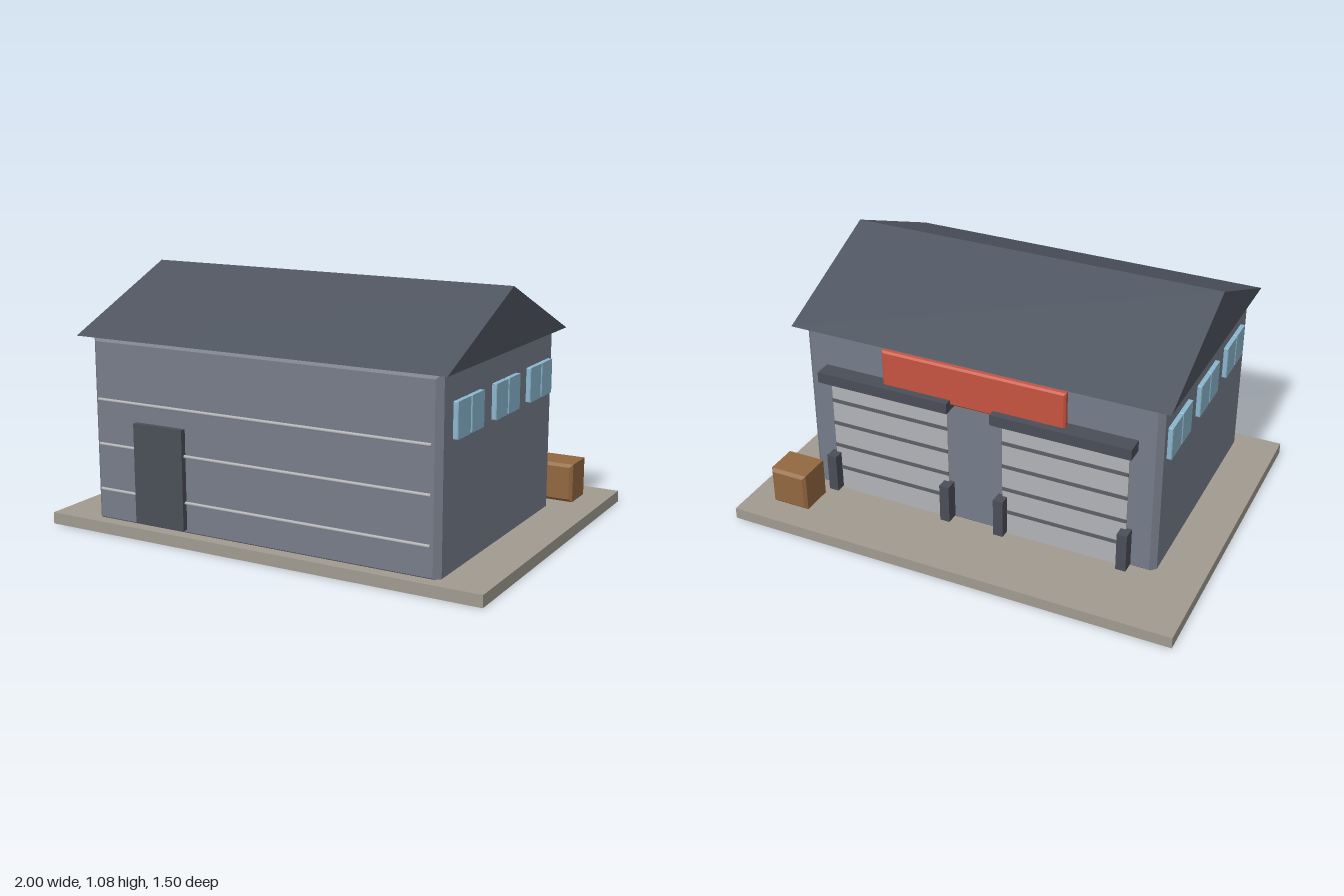
import * as THREE from 'three';

const mat = (name, color) => {
  const m = new THREE.MeshStandardMaterial({ color });
  m.name = name;
  return m;
};

export function createModel() {
  const model = new THREE.Group();
  model.name = 'warehouse';

  const concrete = mat('concrete', 0xa09a90);
  const wallPaint = mat('wallPaint', 0x767c89);
  const roofSlate = mat('roofSlate', 0x4e545f);
  const darkTrim = mat('darkTrim', 0x4a4e57);
  const silver = mat('silver', 0xb2b3b6);
  const seamGrey = mat('seamGrey', 0x5c5f66);
  const glass = mat('glass', 0x8ab5cd);
  const signRed = mat('signRed', 0xc65340);
  const timber = mat('timber', 0x92673f);

  const add = (name, geometry, material) => {
    const mesh = new THREE.Mesh(geometry, material);
    mesh.name = name;
    model.add(mesh);
    return mesh;
  };

  // Box given by its minimum and maximum on each axis
  const box = (name, material, [x0, x1], [y0, y1], [z0, z1]) => {
    const mesh = add(name, new THREE.BoxGeometry(x1 - x0, y1 - y0, z1 - z0), material);
    mesh.position.set((x0 + x1) / 2, (y0 + y1) / 2, (z0 + z1) / 2);
    return mesh;
  };

  // The same, with every edge chamfered by c
  const chamferBox = (name, material, [x0, x1], [y0, y1], [z0, z1], c) => {
    const s = new THREE.Shape();
    s.moveTo(x0 + c, y0 + c);
    s.lineTo(x1 - c, y0 + c);
    s.lineTo(x1 - c, y1 - c);
    s.lineTo(x0 + c, y1 - c);
    s.closePath();
    const g = new THREE.ExtrudeGeometry(s, {
      depth: z1 - z0 - 2 * c, bevelEnabled: true, bevelSegments: 1, bevelSize: c, bevelThickness: c,
    });
    g.translate(0, 0, z0 + c);
    return add(name, g, material);
  };

  // Ground slab and walls
  box('groundSlab', concrete, [-1, 1], [0, 0.05], [-0.75, 0.75]);
  chamferBox('walls', wallPaint, [-0.8, 0.8], [0.03, 0.832], [-0.4, 0.7], 0.025);

  // Gabled roof: a triangle in z and y, extruded along x
  const gable = new THREE.Shape();
  gable.moveTo(-0.74, 0.83);
  gable.lineTo(0.44, 0.83);
  gable.lineTo(-0.15, 1.08);
  gable.closePath();
  const roof = new THREE.ExtrudeGeometry(gable, { depth: 1.68, bevelEnabled: false });
  roof.translate(0, 0, -0.84);
  roof.rotateY(Math.PI / 2);
  add('roof', roof, roofSlate);

  // Front: wall rails and personnel door
  for (const y of [0.18, 0.375, 0.565]) {
    const rail = add('wallRail', new THREE.CylinderGeometry(0.007, 0.007, 1.53, 8), silver);
    rail.rotation.z = Math.PI / 2;
    rail.position.set(0, y, 0.706);
  }
  box('frontDoor', darkTrim, [-0.575, -0.335], [0.065, 0.487], [0.69, 0.725]);

  // Three twin-pane windows on each side
  for (const side of [-1, 1]) {
    for (const z of [0.478, 0.126, -0.222]) {
      const frame = box('windowBack', glass, [-0.005, 0.005], [0.568, 0.708], [z - 0.12, z + 0.12]);
      frame.position.x = side * 0.803;
      for (const half of [-1, 1]) {
        const pane = chamferBox('windowPane', glass, [-0.01, 0.01], [0.565, 0.71],
          [z + half * 0.062 - 0.058, z + half * 0.062 + 0.058], 0.003);
        pane.position.x = side * 0.81;
      }
    }
  }

  // Back: two loading bays with shutter, seams, canopy and bollards
  for (const x of [-0.4, 0.4]) {
    box('shutter', silver, [x - 0.275, x + 0.275], [0.055, 0.615], [-0.42, -0.39]);
    for (let i = 1; i <= 4; i++) {
      const y = 0.055 + i * 0.112;
      box('shutterSeam', seamGrey, [x - 0.275, x + 0.275], [y - 0.008, y + 0.008], [-0.424, -0.418]);
    }
    box('canopy', darkTrim, [x - 0.303, x + 0.303], [0.612, 0.66], [-0.477, -0.395]);
    for (const side of [-1, 1]) {
      const bx = x + side * 0.275;
      box('bollard', darkTrim, [bx - 0.022, bx + 0.022], [0.066, 0.24], [-0.466, -0.41]);
    }
  }

  // Red sign board above the bays
  chamferBox('signBoard', signRed, [-0.41, 0.41], [0.635, 0.815], [-0.443, -0.411], 0.008);

  // Crate at the back corner
  chamferBox('crate', timber, [0.71, 0.88], [0.05, 0.22], [-0.635, -0.468], 0.013);

  return model;
}
